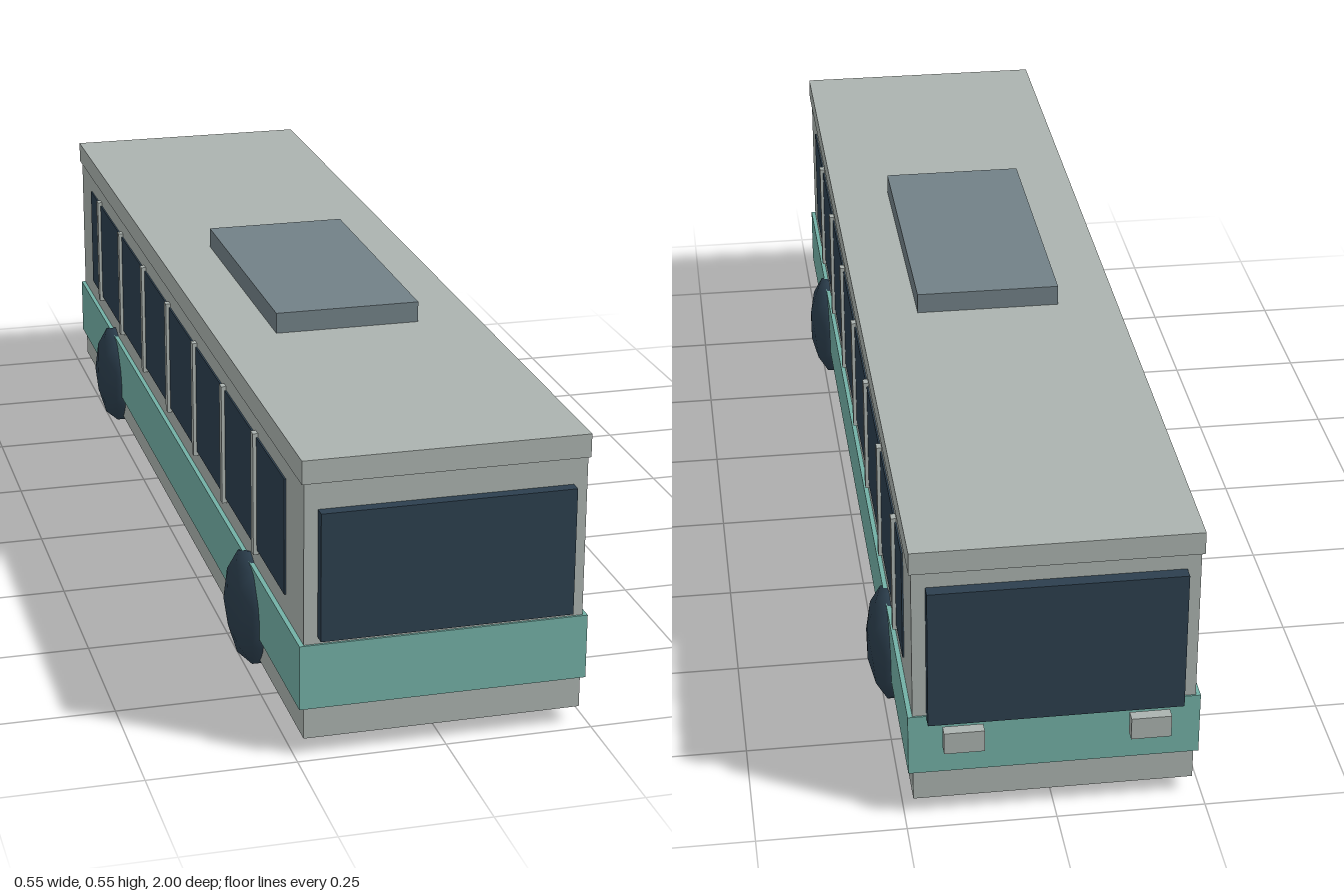
import * as THREE from 'three';

const mat = (name, color) => {
  const m = new THREE.MeshStandardMaterial({ color });
  m.name = name;
  return m;
};

export function createModel() {
  const bus = new THREE.Group();
  bus.name = 'bus';
  const grey = mat('pale grey paint', 0xabb3af);
  const teal = mat('teal paint', 0x73b0a6);
  const dark = mat('dark glass and rubber', 0x2c3f4e);
  const slate = mat('slate', 0x728187);

  // Box given by its minimum and maximum on each axis
  const box = (name, material, [x0, x1], [y0, y1], [z0, z1]) => {
    const mesh = new THREE.Mesh(new THREE.BoxGeometry(x1 - x0, y1 - y0, z1 - z0), material);
    mesh.position.set((x0 + x1) / 2, (y0 + y1) / 2, (z0 + z1) / 2);
    mesh.name = name;
    bus.add(mesh);
  };

  // Shell
  box('body', grey, [-0.235, 0.235], [0.03, 0.475], [-0.96, 0.98]);
  box('roof', grey, [-0.239, 0.239], [0.473, 0.513], [-0.967, 0.983]);
  box('sideBand', teal, [-0.243, 0.243], [0.084, 0.196], [-0.963, 0.984]);
  box('roofUnit', slate, [-0.13, 0.13], [0.51, 0.55], [-0.148, 0.382]);

  // End windows
  box('windscreen', dark, [-0.212, 0.212], [0.208, 0.428], [0.978, 1]);
  box('rearWindow', dark, [-0.212, 0.212], [0.19, 0.443], [-0.982, -0.958]);

  // Wheel: faceted ball squashed along the axle
  const wheelGeometry = new THREE.IcosahedronGeometry(0.103, 1);
  wheelGeometry.rotateX(Math.atan(2 / (1 + Math.sqrt(5))));
  wheelGeometry.rotateZ(Math.PI / 2);

  for (const s of [-1, 1]) {
    const side = s > 0 ? 'left' : 'right';
    const span = (a, b) => (s > 0 ? [a, b] : [-b, -a]);

    // Window strip with pillars
    box(side + 'Windows', dark, span(0.232, 0.238), [0.234, 0.437], [-0.845, 0.865]);
    for (let i = 0; i < 7; i++) {
      const z = 0.668 - i * 0.2345;
      box(side + 'WindowPillar', grey, span(0.233, 0.244), [0.225, 0.444], [z - 0.008, z + 0.008]);
    }

    // Rear lamps
    box(side + 'RearLamp', grey, span(0.121, 0.188), [0.145, 0.185], [-1, -0.98]);

    // Wheels
    for (const [end, z] of [['Front', 0.617], ['Rear', -0.602]]) {
      const wheel = new THREE.Mesh(wheelGeometry, dark);
      wheel.scale.x = 0.41;
      wheel.position.set(s * 0.235, 0.103, z);
      wheel.name = side + end + 'Wheel';
      bus.add(wheel);
    }
  }
  return bus;
}
